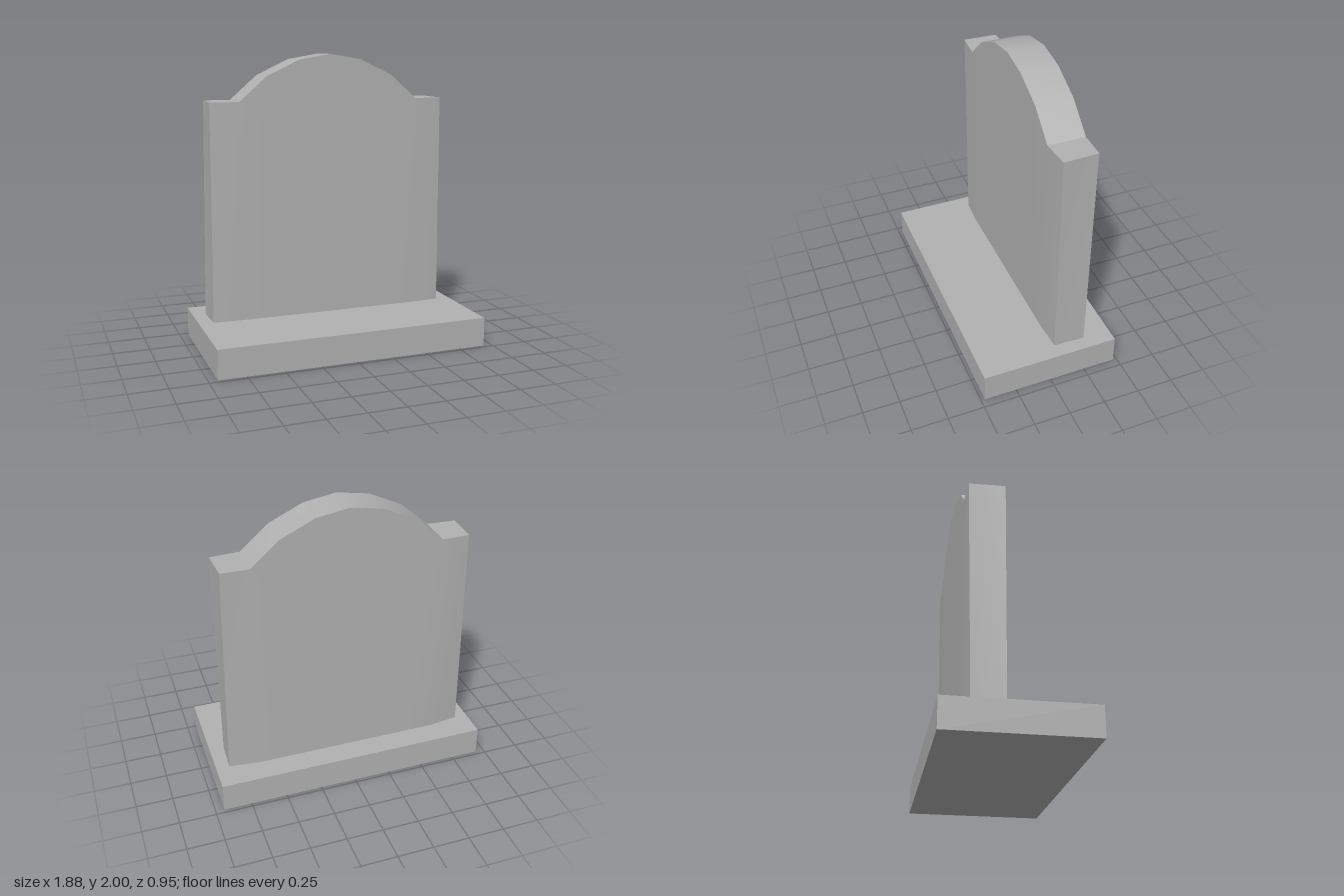
import * as THREE from 'three';
import { toCreasedNormals } from 'three/addons/utils/BufferGeometryUtils.js';

const BASE_TOP = 0.2;

// Vertical cross-section of the slab: front bottom, front top, back top, back bottom.
function section(x, top) {
  return [[x, BASE_TOP, -0.055], [x, top, -0.055], [x, top, -0.308], [x, BASE_TOP, -0.308]];
}

// Slightly skewed outer end of the slab; side is -1 or 1.
function endSection(side) {
  return [
    [0.84 * side, BASE_TOP, -0.068],
    [0.835 * side, 1.69, -0.068],
    [0.825 * side, 1.69, -0.303],
    [0.85 * side, BASE_TOP, -0.28],
  ];
}

function slabGeometry() {
  // Half of the arched top, from the centre out to the shoulder
  const arch = [[0, 2], [0.22, 1.963], [0.45, 1.855], [0.638, 1.69]];
  const columns = [
    endSection(-1),
    ...arch.slice(1).reverse().map(([x, y]) => section(-x, y)),
    ...arch.map(([x, y]) => section(x, y)),
    endSection(1),
  ];

  // Join neighbouring cross-sections and close both ends
  const index = [];
  const last = columns.length - 1;
  for (let i = 0; i < last; i++) {
    for (let k = 0; k < 4; k++) {
      const n = (k + 1) % 4;
      const a = i * 4 + k, b = a + 4, c = i * 4 + 4 + n, d = i * 4 + n;
      index.push(a, b, c, a, c, d);
    }
  }
  const e = last * 4;
  index.push(0, 2, 3, 0, 1, 2, e, e + 3, e + 2, e, e + 2, e + 1);

  const geometry = new THREE.BufferGeometry();
  geometry.setAttribute('position', new THREE.Float32BufferAttribute(columns.flat(2), 3));
  geometry.setIndex(index);
  // Smooth arch, sharp shoulders and edges
  return toCreasedNormals(geometry, 0.5);
}

export function createModel() {
  const stone = new THREE.MeshStandardMaterial({ color: 0xb2b2b2 });
  stone.name = 'grey stone';

  const model = new THREE.Group();
  model.name = 'gravestone';

  // Flat plinth
  const base = new THREE.Mesh(new THREE.BoxGeometry(1.88, BASE_TOP, 0.946), stone);
  base.name = 'base';
  base.position.y = BASE_TOP / 2;

  // Upright slab with arched top, set towards the back
  const slab = new THREE.Mesh(slabGeometry(), stone);
  slab.name = 'headstone';

  model.add(base, slab);
  return model;
}
